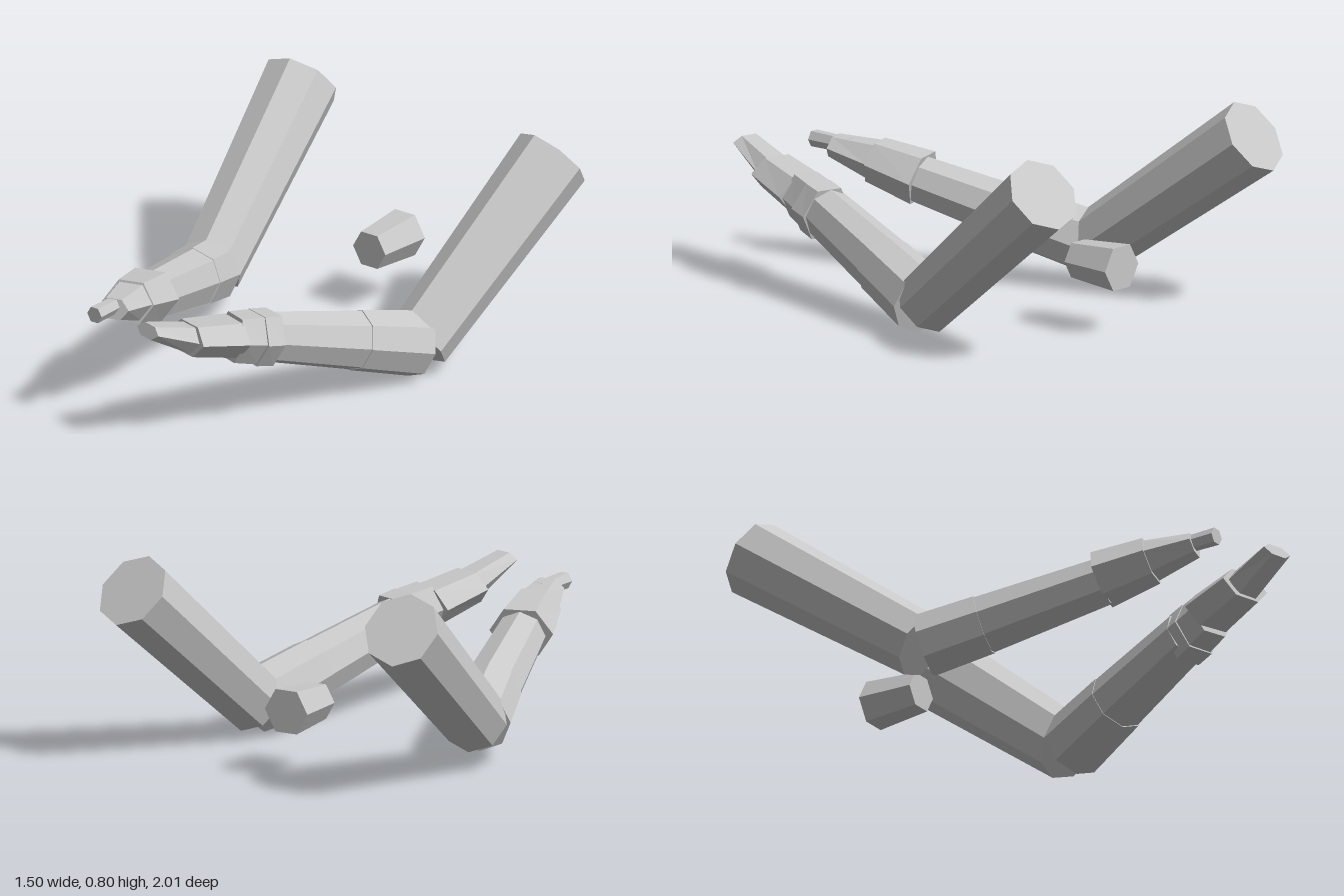
import * as THREE from 'three';

const grey = new THREE.MeshStandardMaterial({ color: 0xc8c8c8, flatShading: true });
grey.name = 'plain grey';

// Tapered prism from point a to point b; each end is [halfWidth, halfHeight].
function segment(name, sides, a, b, endA, endB) {
  const start = new THREE.Vector3(...a);
  const axis = new THREE.Vector3(...b).sub(start);
  const side = axis.clone().cross(new THREE.Vector3(0, 1, 0)).normalize();
  const up = side.clone().cross(axis).normalize();
  // octagons have a corner on top, hexagons a flat top
  const turn = sides === 6 ? Math.PI / 6 : 0;
  const geo = new THREE.CylinderGeometry(1, 1, 1, sides, 1, false, turn);
  const pos = geo.attributes.position;
  const v = new THREE.Vector3();
  for (let i = 0; i < pos.count; i++) {
    const x = pos.getX(i), t = pos.getY(i) + 0.5, z = pos.getZ(i);
    v.copy(start).addScaledVector(axis, t)
      .addScaledVector(side, x * THREE.MathUtils.lerp(endA[0], endB[0], t))
      .addScaledVector(up, z * THREE.MathUtils.lerp(endA[1], endB[1], t));
    pos.setXYZ(i, v.x, v.y, v.z);
  }
  geo.computeVertexNormals();
  const mesh = new THREE.Mesh(geo, grey);
  mesh.name = name;
  return mesh;
}

const round = (r) => [r, r];

export function createModel() {
  const model = new THREE.Group();
  model.name = 'armsModel';

  // Left arm: upper arm, two-part forearm, wrist rings, flat hand and fingers
  const left = new THREE.Group();
  left.name = 'leftArm';
  left.add(
    segment('leftUpperArm', 8, [0.49, 0.13, -0.224], [0.6, 0.685, -0.91], round(0.126), round(0.15)),
    segment('leftElbow', 8, [0.49, 0.13, -0.21], [0.408, 0.213, 0.06], round(0.13), round(0.12)),
    segment('leftForearm', 8, [0.41, 0.21, 0.05], [0.285, 0.335, 0.47], round(0.117), round(0.098)),
    segment('leftCuff', 6, [0.3, 0.328, 0.445], [0.278, 0.345, 0.52], [0.104, 0.115], [0.107, 0.112]),
    segment('leftWrist', 6, [0.28, 0.345, 0.51], [0.245, 0.368, 0.61], [0.1, 0.108], [0.097, 0.1]),
    segment('leftHand', 6, [0.243, 0.37, 0.6], [0.185, 0.415, 0.805], [0.118, 0.08], [0.107, 0.068]),
    segment('leftFingers', 6, [0.187, 0.415, 0.8], [0.138, 0.492, 0.985], [0.08, 0.06], [0.065, 0.03]),
  );

  // Right arm: held a little higher, with a broad cuff and a small grip
  const right = new THREE.Group();
  right.name = 'rightArm';
  right.add(
    segment('rightUpperArm', 8, [-0.49, 0.175, -0.21], [-0.6, 0.685, -0.91], round(0.126), round(0.15)),
    segment('rightElbow', 8, [-0.49, 0.175, -0.2], [-0.408, 0.235, 0.02], round(0.127), round(0.12)),
    segment('rightForearm', 8, [-0.41, 0.233, 0.01], [-0.262, 0.352, 0.47], round(0.116), round(0.095)),
    segment('rightCuff', 6, [-0.266, 0.358, 0.46], [-0.21, 0.408, 0.65], [0.125, 0.108], [0.1, 0.09]),
    segment('rightHand', 6, [-0.212, 0.407, 0.64], [-0.16, 0.447, 0.815], [0.094, 0.08], [0.064, 0.045]),
    segment('rightGrip', 6, [-0.167, 0.455, 0.735], [-0.167, 0.455, 0.92], round(0.031), round(0.034)),
  );

  // Loose hexagonal block between the arms
  const block = segment('centreBlock', 6, [0, 0.265, -0.775], [0, 0.265, -0.555], round(0.095), round(0.077));

  model.add(left, right, block);
  return model;
}
